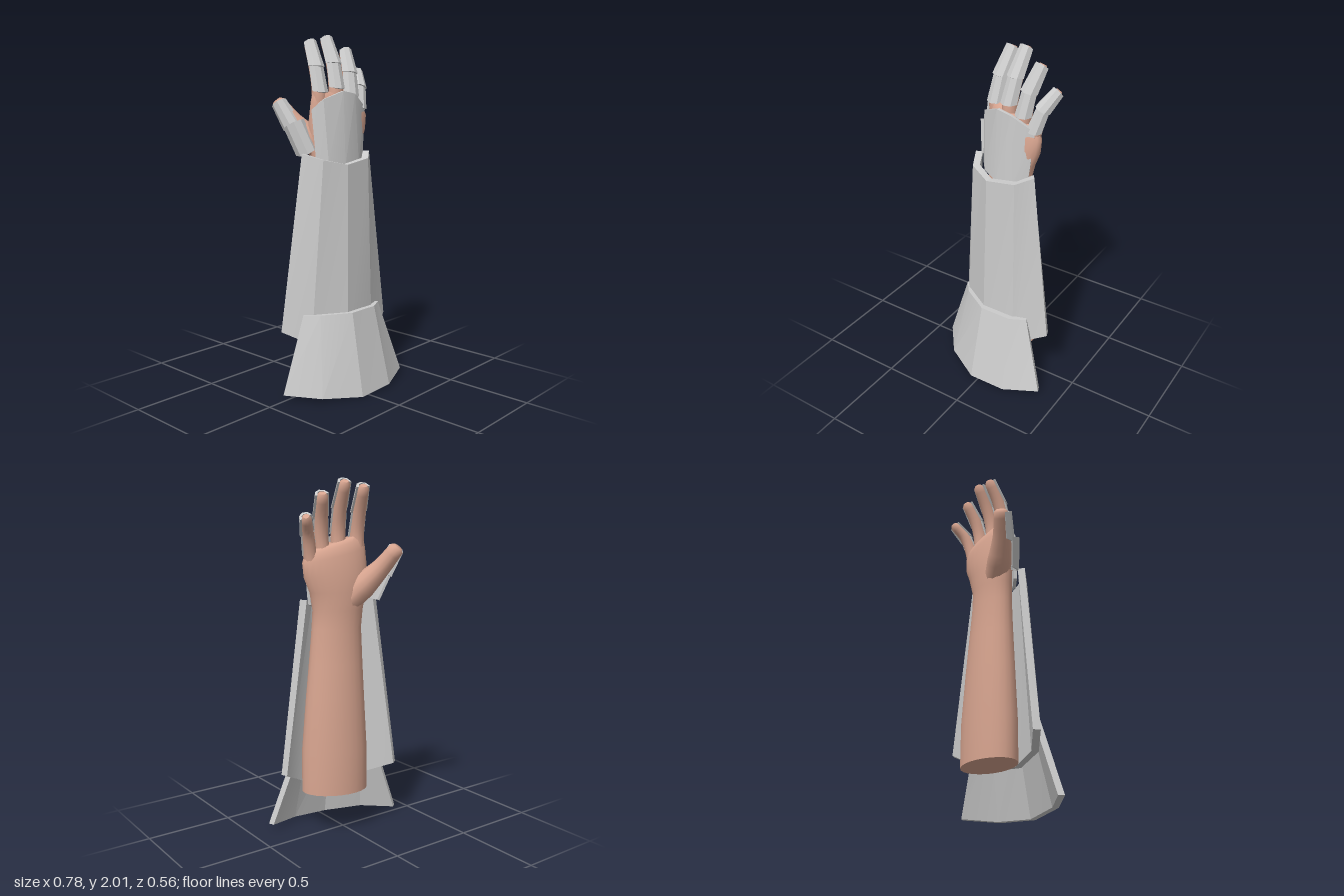
import * as THREE from 'three';
import { toCreasedNormals } from 'three/addons/utils/BufferGeometryUtils.js';

const V = (p) => new THREE.Vector3(...p);

// Joins closed rings of points into a capped solid
function loft(rings, crease) {
  const n = rings[0].length, last = (rings.length - 1) * n, index = [];
  for (let i = 0; i < rings.length - 1; i++) {
    for (let j = 0; j < n; j++) {
      const a = i * n + j, b = i * n + (j + 1) % n;
      index.push(a, a + n, b, b, a + n, b + n);
    }
  }
  for (let j = 0; j < n / 2 - 1; j++) {
    const k = n - 1 - j;
    index.push(j, j + 1, k - 1, j, k - 1, k);
    index.push(last + j, last + k - 1, last + j + 1, last + j, last + k, last + k - 1);
  }
  const geo = new THREE.BufferGeometry().setFromPoints(rings.flat());
  geo.setIndex(index);
  return toCreasedNormals(geo, crease);
}

// Forearm and palm: tilted ellipses [y, x, z, halfWidth, halfDepth, turn, sidewaysSlope]
function armGeometry() {
  const sections = [
    [0.255, 0.06, 0, 0.192, 0.13, 0.32, 0],
    [0.5, 0.06, 0, 0.19, 0.13, 0.32, 0],
    [0.8, 0.055, 0, 0.17, 0.115, 0.3, 0],
    [1.0, 0.05, 0, 0.155, 0.105, 0.3, 0],
    [1.2, 0.045, 0, 0.143, 0.092, 0.28, 0],
    [1.3, 0.04, -0.005, 0.145, 0.09, 0.28, 0],
    [1.4, 0.045, -0.015, 0.165, 0.086, 0.26, 0],
    [1.5, 0.06, -0.015, 0.185, 0.078, 0.25, 0.1],
    [1.6, 0.068, -0.01, 0.185, 0.068, 0.22, 0.22],
    [1.65, 0.066, -0.01, 0.172, 0.055, 0.22, 0.28],
    [1.67, 0.066, -0.012, 0.15, 0.035, 0.22, 0.3],
  ];
  const rings = sections.map(([y, x, z, a, b, turn, slope]) => Array.from({ length: 24 }, (_, j) => {
    const q = (j / 24) * Math.PI * 2, c = a * Math.cos(q), s = b * Math.sin(q);
    const dx = c * Math.cos(turn) - s * Math.sin(turn);
    return V([x + dx, y - slope * dx, z + c * Math.sin(turn) + s * Math.cos(turn)]);
  }));
  return loft(rings, 0.9);
}

// Digit: round sections along a curve, with a blunt tip
function digitGeometry(points, radii) {
  const curve = new THREE.CatmullRomCurve3(points.map(V));
  const steps = 12, rings = [];
  const ring = (centre, t, r) => {
    const u = new THREE.Vector3().crossVectors(t, V([0, 0, 1])).normalize();
    const v = new THREE.Vector3().crossVectors(u, t);
    rings.push(Array.from({ length: 12 }, (_, j) => {
      const q = (j / 12) * Math.PI * 2;
      return centre.clone().addScaledVector(u, r * Math.cos(q)).addScaledVector(v, r * Math.sin(q));
    }));
  };
  for (let i = 0; i <= steps; i++) {
    const k = i / steps, f = k * (radii.length - 1), m = Math.min(Math.floor(f), radii.length - 2);
    ring(curve.getPoint(k), curve.getTangent(k), THREE.MathUtils.lerp(radii[m], radii[m + 1], f - m));
  }
  const t = curve.getTangent(1);
  ring(curve.getPoint(1).addScaledVector(t, 0.016), t, radii.at(-1) * 0.6);
  return loft(rings, 0.9);
}

// Broad plate: outer rows running from -x to +x, thickened inwards
function plateGeometry(rows, thickness) {
  const rings = rows.map((row) => {
    const outer = row.map(V);
    const inner = outer.map((p, i) => {
      const d = outer[Math.min(i + 1, outer.length - 1)].clone().sub(outer[Math.max(i - 1, 0)]);
      return p.clone().addScaledVector(V([d.z, 0, -d.x]).normalize(), thickness);
    });
    return [...outer.reverse(), ...inner];
  });
  return loft(rings, 0.35);
}

// Digit guard: faceted half shell around the segment a-b, facing f
function guardGeometry(a, b, r0, r1, f) {
  const t = b.clone().sub(a).normalize();
  const v = V(f).addScaledVector(t, -V(f).dot(t)).normalize();
  const u = new THREE.Vector3().crossVectors(t, v);
  const ring = (centre, r, peak) => {
    const arc = (rad) => [5, 47, 90, 133, 175].map((deg) => {
      const q = THREE.MathUtils.degToRad(deg);
      return centre.clone().addScaledVector(u, rad * Math.cos(q))
        .addScaledVector(v, rad * Math.sin(q)).addScaledVector(t, peak * Math.sin(q));
    });
    return [...arc(r), ...arc(r - 0.013).reverse()];
  };
  return loft([ring(a, r0, -0.02), ring(b, r1, 0.008)], 0.35);
}

export function createModel() {
  const model = new THREE.Group();
  const skin = new THREE.MeshStandardMaterial({ color: 0xd8a590 });
  const metal = new THREE.MeshStandardMaterial({ color: 0xcccccc });
  const add = (name, geo, mat) => {
    const mesh = new THREE.Mesh(geo, mat);
    mesh.name = name;
    model.add(mesh);
  };

  add('forearmAndPalm', armGeometry(), skin);

  // Fingers from base to tip, each with two guards
  const fingers = {
    index: [[-0.06, 1.58, -0.04], [-0.064, 1.71, -0.04], [-0.055, 1.83, -0.075], [-0.032, 1.955, -0.14]],
    middle: [[0.035, 1.58, -0.01], [0.04, 1.73, -0.01], [0.053, 1.85, -0.045], [0.07, 1.978, -0.112]],
    ring: [[0.125, 1.55, 0.005], [0.14, 1.69, 0.01], [0.155, 1.8, -0.015], [0.185, 1.915, -0.072]],
    little: [[0.19, 1.5, 0.02], [0.21, 1.62, 0.015], [0.238, 1.72, -0.01], [0.283, 1.8, -0.066]],
  };
  for (const [name, pts] of Object.entries(fingers)) {
    const size = name === 'little' ? 0.9 : 1;
    const [, knuckle, joint, tip] = pts.map(V);
    add(name + 'Finger', digitGeometry(pts, [0.044, 0.041, 0.037, 0.031].map((r) => r * size)), skin);
    add(name + 'LowerGuard', guardGeometry(knuckle.clone().lerp(joint, -0.1), joint, 0.05 * size, 0.045 * size, [-0.15, 0, 1]), metal);
    add(name + 'UpperGuard', guardGeometry(joint, joint.clone().lerp(tip, 1.05), 0.051 * size, 0.041 * size, [-0.15, 0, 1]), metal);
  }

  // Thumb and its guards
  add('thumb', digitGeometry(
    [[0.0, 1.34, -0.03], [-0.07, 1.43, -0.09], [-0.135, 1.53, -0.165], [-0.182, 1.635, -0.24]],
    [0.07, 0.073, 0.053, 0.042]), skin);
  add('thumbLowerGuard', guardGeometry(V([-0.125, 1.37, -0.08]), V([-0.165, 1.52, -0.135]), 0.062, 0.062, [-0.65, 0, 0.75]), metal);
  add('thumbUpperGuard', guardGeometry(V([-0.155, 1.51, -0.16]), V([-0.19, 1.635, -0.225]), 0.056, 0.045, [-0.8, 0, 0.6]), metal);

  // Back of hand plate
  add('handPlate', plateGeometry([
    [[-0.13, 1.33, 0.0], [-0.085, 1.31, 0.055], [0.01, 1.29, 0.094], [0.12, 1.3, 0.096], [0.195, 1.33, 0.06]],
    [[-0.138, 1.6, -0.025], [-0.1, 1.655, 0.03], [0.01, 1.7, 0.078], [0.1, 1.685, 0.084], [0.225, 1.61, 0.05]],
  ], 0.02), metal);

  // Forearm plate
  add('forearmPlate', plateGeometry([
    [[-0.32, 0.365, -0.09], [-0.22, 0.3, 0.05], [-0.04, 0.265, 0.16], [0.17, 0.275, 0.16], [0.362, 0.37, 0.093]],
    [[-0.205, 1.36, -0.035], [-0.15, 1.33, 0.075], [-0.02, 1.3, 0.137], [0.155, 1.325, 0.135], [0.24, 1.36, 0.07]],
  ], 0.04), metal);

  // Flared elbow plate
  add('elbowPlate', plateGeometry([
    [[-0.395, 0.04, 0.0], [-0.26, 0.025, 0.17], [-0.05, 0.005, 0.282], [0.18, 0.015, 0.287], [0.382, 0.04, 0.21]],
    [[-0.25, 0.47, 0.015], [-0.19, 0.47, 0.09], [-0.03, 0.47, 0.185], [0.16, 0.47, 0.185], [0.25, 0.47, 0.14]],
  ], 0.035), metal);

  return model;
}
